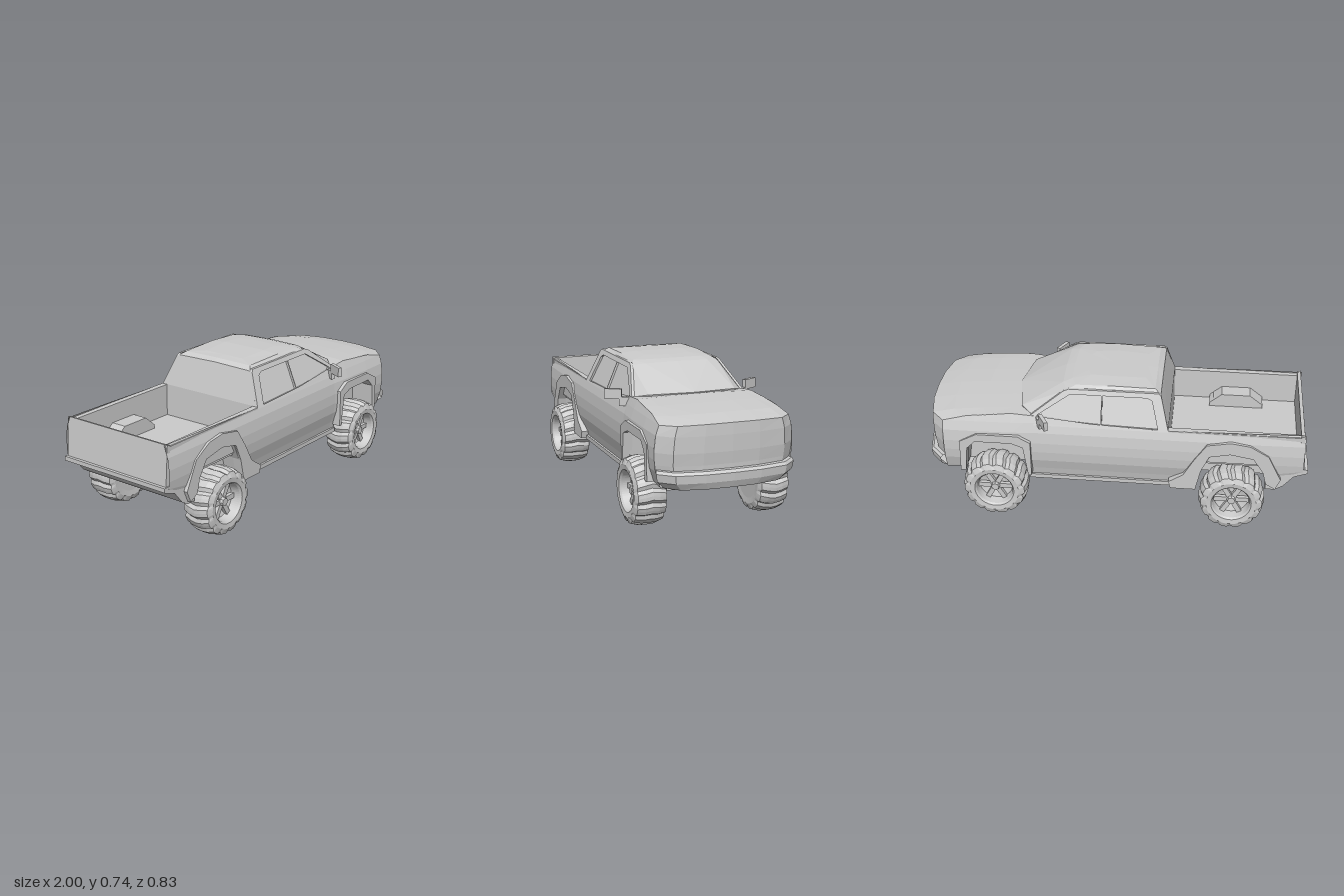
import * as THREE from 'three';

const mat = new THREE.MeshStandardMaterial({ color: 0xcccccc, flatShading: true, side: THREE.DoubleSide });

function add(parent, name, geo, x = 0, y = 0, z = 0) {
  const m = new THREE.Mesh(geo, mat);
  m.name = name;
  m.position.set(x, y, z);
  parent.add(m);
  return m;
}

// box given by its minimum and maximum corners
function box(parent, name, a, b) {
  const s = b.map((v, i) => v - a[i]);
  return add(parent, name, new THREE.BoxGeometry(...s), ...a.map((v, i) => v + s[i] / 2));
}

// skin stretched over rows of [x, y, z] points
function skin(rows) {
  const n = rows[0].length, idx = [];
  for (let i = 0; i < rows.length - 1; i++)
    for (let j = 0; j < n - 1; j++) {
      const a = i * n + j, b = a + n;
      idx.push(a, b, a + 1, a + 1, b, b + 1);
    }
  const g = new THREE.BufferGeometry();
  g.setAttribute('position', new THREE.Float32BufferAttribute(rows.flat(2), 3));
  g.setIndex(idx);
  g.computeVertexNormals();
  return g;
}

const poly = pts => new THREE.Shape(pts.map(p => new THREE.Vector2(...p)));
const extrude = (pts, depth) => new THREE.ExtrudeGeometry(poly(pts), { depth, bevelEnabled: false });

function lerpTable(t, v) {
  if (v <= t[0][0]) return t[0][1];
  for (let i = 1; i < t.length; i++)
    if (v <= t[i][0]) return THREE.MathUtils.mapLinear(v, t[i - 1][0], t[i][0], t[i - 1][1], t[i][1]);
  return t[t.length - 1][1];
}

// half width of the body at height y and length x
const widths = [[.21, .3], [.25, .307], [.27, .314], [.33, .332], [.385, .338], [.44, .338], [.5, .331], [.55, .315], [.6, .295]];
const tapers = [[-.97, .985], [-.7, 1], [.4, 1], [.6, 1.04]];
const halfWidth = (x, y) => lerpTable(widths, y) * lerpTable(tapers, x);

// top edge of the body side
const tops = [[-.975, .56], [-.29, .548], [.1, .56], [.4, .585], [.525, .595], [.75, .577], [.88, .548]];
// lower edge of the body side, with both wheel arches
const bottoms = [[-.975, .35], [-.86, .3], [-.79, .27], [-.775, .34], [-.72, .42], [-.6, .445], [-.5, .42],
  [-.455, .33], [-.43, .23], [-.29, .21], [.1, .21], [.4, .21], [.44, .21], [.462, .42], [.525, .445],
  [.715, .445], [.76, .4], [.775, .26], [.88, .25]];

// rounded plan of the nose
const fr = [-1, -.8, -.4, 0, .4, .8, 1];
const bow = [0, .065, .09, .095, .09, .065, 0];

function wheel(name) {
  const g = new THREE.Group();
  g.name = name;
  // tyre with notched, chevron-shaped tread
  const profile = [[0, -.08], [.1, -.08], [.13, -.083], [.158, -.072], [.169, -.035], [.171, 0],
    [.169, .035], [.158, .072], [.13, .083], [.104, .08], [.096, .07], [.088, .025], [.05, .012], [0, .012]];
  const tyre = new THREE.LatheGeometry(profile.map(p => new THREE.Vector2(...p)), 56);
  const p = tyre.attributes.position, n = profile.length;
  for (let i = 0; i < p.count; i++) {
    const j = i % n, seg = Math.floor(i / n);
    if (j < 2 || j > 8) continue;
    const k = seg % 4 === 0 ? (j === 2 || j === 8 ? .98 : .93) : 1;
    const a = seg / 56 * Math.PI * 2 + (.083 - Math.abs(profile[j][1]));
    p.setXYZ(i, Math.sin(a) * profile[j][0] * k, profile[j][1], Math.cos(a) * profile[j][0] * k);
  }
  tyre.rotateX(Math.PI / 2);
  add(g, 'tyre', tyre);
  // spokes and hub
  for (let i = 0; i < 6; i++) {
    const s = new THREE.BoxGeometry(.07, .026, .02).translate(.055, 0, 0).rotateZ(i * Math.PI / 3);
    add(g, 'spoke', s, 0, 0, .03);
  }
  add(g, 'hub', new THREE.CylinderGeometry(.02, .03, .04, 8).rotateX(Math.PI / 2), 0, 0, .036);
  return g;
}

export function createModel() {
  const truck = new THREE.Group();
  truck.name = 'pickupTruck';

  // body sides, each with the ceiling of the wheel arches
  const levels = [.21, .27, .33, .385, .44, .5, .55, .61];
  for (const s of [1, -1]) {
    const rows = bottoms.map(([x, b]) => {
      const t = lerpTable(tops, x);
      const pts = levels.map((l, i) => {
        const y = i === levels.length - 1 ? t : Math.min(Math.max(l, b), t);
        return [x, y, s * halfWidth(x, y)];
      });
      return [[x, b, s * .222], ...pts];
    });
    add(truck, s > 0 ? 'rightSide' : 'leftSide', skin(rows));
  }

  // bonnet
  const bonnet = [[.38, 0], [.52, .1], [.65, .4], [.78, .75], [.84, .92], [.88, 1]].map(([x, k]) => {
    const t = lerpTable(tops, x);
    return fr.map((f, i) => [x + bow[i] * k, t + .008 * (1 - f * f), f * halfWidth(x, t)]);
  });
  add(truck, 'bonnet', skin(bonnet));

  // nose and front bumper
  const ring = (y, push, scale = 1, x0 = .88) => fr.map((f, i) =>
    [x0 + bow[i] + push, y + (y > .54 ? .008 * (1 - f * f) : 0), f * halfWidth(.88, y) * scale]);
  add(truck, 'nose', skin([ring(.31, -.015), ring(.36, -.012), ring(.42, -.004), ring(.5, 0), ring(.548, 0)]));
  add(truck, 'frontBumper', skin([ring(.25, -.1, .95, .78), ring(.25, .005, .96), ring(.285, .02, 1.04),
    ring(.325, .024, 1.02), ring(.338, .012, 1), ring(.338, -.03, .97)]));

  // cab: half rings from inside the body up to the crowned roof, mirrored
  const sideZ = y => .303 - .42 * (y - .55);
  const base = [[-.285, .37, 0], [-.285, .37, .29], [.1, .37, .29], [.38, .37, .28], [.45, .37, .22], [.48, .37, 0]];
  const belt = [[-.28, .55, 0], [-.28, .55, sideZ(.55)], [.1, .555, sideZ(.555)], [.42, .585, sideZ(.585)],
    [.48, .602, .23], [.52, .607, 0]];
  const roof = [[-.235, .718, 0], [-.235, .712, sideZ(.712)], [.02, .723, sideZ(.723)], [.245, .712, sideZ(.712)],
    [.27, .719, .17], [.275, .722, 0]];
  const lip = [[-.205, .732, 0], [-.205, .73, .21], [.02, .736, .215], [.2, .73, .21], [.225, .732, .15], [.23, .733, 0]];
  const crown = [[-.15, .737, 0], [-.15, .737, .12], [.02, .743, .13], [.13, .74, .12], [.15, .739, .08], [.155, .739, 0]];
  const top = crown.map(() => [.02, .743, 0]);
  for (const s of [1, -1])
    add(truck, 'cab', skin([base, belt, roof, lip, crown, top].map(r => r.map(([x, y, z]) => [x, y, s * z]))));

  // door frames standing proud of the side glass, leaning with the cab
  const frame = [[-.282, .54], [-.238, .708], [-.225, .721], [.235, .721], [.262, .71], [.43, .585], [.42, .54]];
  const panes = [
    [[-.228, .547], [.06, .555], [.06, .697], [-.168, .697], [-.192, .685]],
    [[.066, .555], [.388, .57], [.392, .59], [.225, .697], [.066, .697]],
  ];
  for (const s of [1, -1]) {
    const shape = poly(frame);
    shape.holes = panes.map(poly);
    const g = new THREE.ExtrudeGeometry(shape, { depth: .014, bevelEnabled: false });
    const p = g.attributes.position;
    for (let i = 0; i < p.count; i++) p.setZ(i, s * (sideZ(p.getY(i)) + p.getZ(i) - .002));
    g.computeVertexNormals();
    add(truck, 'windowFrame', g);
  }

  // load bed
  box(truck, 'bedFloor', [-.96, .35, -.3], [-.28, .38, .3]);
  add(truck, 'tailgate', extrude([[-.985, .35], [-.95, .35], [-.95, .556], [-.968, .561]], .64), 0, 0, -.32);
  for (const s of [1, -1]) {
    const [z0, z1] = s > 0 ? [.285, .318] : [-.318, -.285];
    box(truck, 'bedRail', [-.965, .37, z0], [-.28, .549, z1]);
    const hump = extrude([[-.77, .37], [-.48, .37], [-.48, .4], [-.545, .455], [-.7, .455], [-.77, .4]], .09);
    add(truck, 'bedWheelHump', hump, 0, 0, s > 0 ? .2 : -.29);
  }

  // rear bumper
  add(truck, 'rearBumper', extrude([[-1, .36], [-1, .338], [-.93, .312], [-.88, .25], [-.84, .225],
    [-.79, .225], [-.79, .3], [-.86, .36]], .65), 0, 0, -.325);

  // wheel arch flares
  const rearFlare = [[-.865, .3], [-.795, .44], [-.7, .497], [-.6, .512], [-.48, .49], [-.42, .4], [-.365, .3],
    [-.29, .25], [-.3, .21], [-.43, .21], [-.455, .33], [-.495, .42], [-.6, .442], [-.72, .42], [-.772, .34], [-.79, .27], [-.84, .24]];
  const frontFlare = [[.425, .25], [.425, .45], [.49, .488], [.705, .488], [.795, .44], [.8, .26], [.772, .26],
    [.758, .4], [.715, .443], [.525, .443], [.465, .42], [.442, .25]];
  for (const s of [1, -1]) {
    add(truck, 'rearFlare', extrude(rearFlare, .05), 0, 0, s > 0 ? .295 : -.345);
    add(truck, 'frontFlare', extrude(frontFlare, .05), 0, 0, s > 0 ? .308 : -.358);
  }

  // underside, sills and inner walls of the wheel wells
  box(truck, 'floor', [-.43, .207, -.3], [.44, .235, .3]);
  for (const s of [1, -1]) {
    const [z0, z1] = s > 0 ? [.28, .316] : [-.316, -.28];
    box(truck, 'sill', [-.43, .205, z0], [.44, .228, z1]);
  }
  box(truck, 'rearChassis', [-.82, .25, -.225], [-.4, .37, .225]);
  box(truck, 'frontChassis', [.42, .25, -.225], [.86, .46, .225]);

  // door mirrors
  for (const s of [1, -1]) {
    const mirror = new THREE.Group();
    mirror.name = s > 0 ? 'rightMirror' : 'leftMirror';
    box(mirror, 'mirrorArm', [-.01, -.02, -.02], [.01, .025, .04]);
    box(mirror, 'mirrorHead', [-.01, .015, .028], [.01, .065, .115]);
    mirror.position.set(.385, .555, s * .308);
    mirror.rotation.y = s > 0 ? -.5 : Math.PI + .5;
    truck.add(mirror);
  }

  // wheels and axles
  const halfAxle = [[.25, .2], [.13, .2], [.09, .222], [-.09, .222], [-.13, .2], [-.25, .2],
    [-.25, .158], [-.08, .158], [-.03, .15], [.03, .15], [.08, .158], [.25, .158]];
  for (const x of [-.62, .62]) {
    const end = x > 0 ? 'front' : 'rear';
    add(truck, end + 'Axle', extrude(halfAxle, .05).rotateY(Math.PI / 2), x - .025, 0, 0);
    box(truck, end + 'Differential', [x - .035, .152, -.03], [x + .035, .26, .03]);
    for (const s of [1, -1]) {
      const w = wheel(end + (s > 0 ? 'RightWheel' : 'LeftWheel'));
      w.position.set(x, .171, s * .32);
      if (s < 0) w.rotation.y = Math.PI;
      truck.add(w);
    }
  }
  return truck;
}
